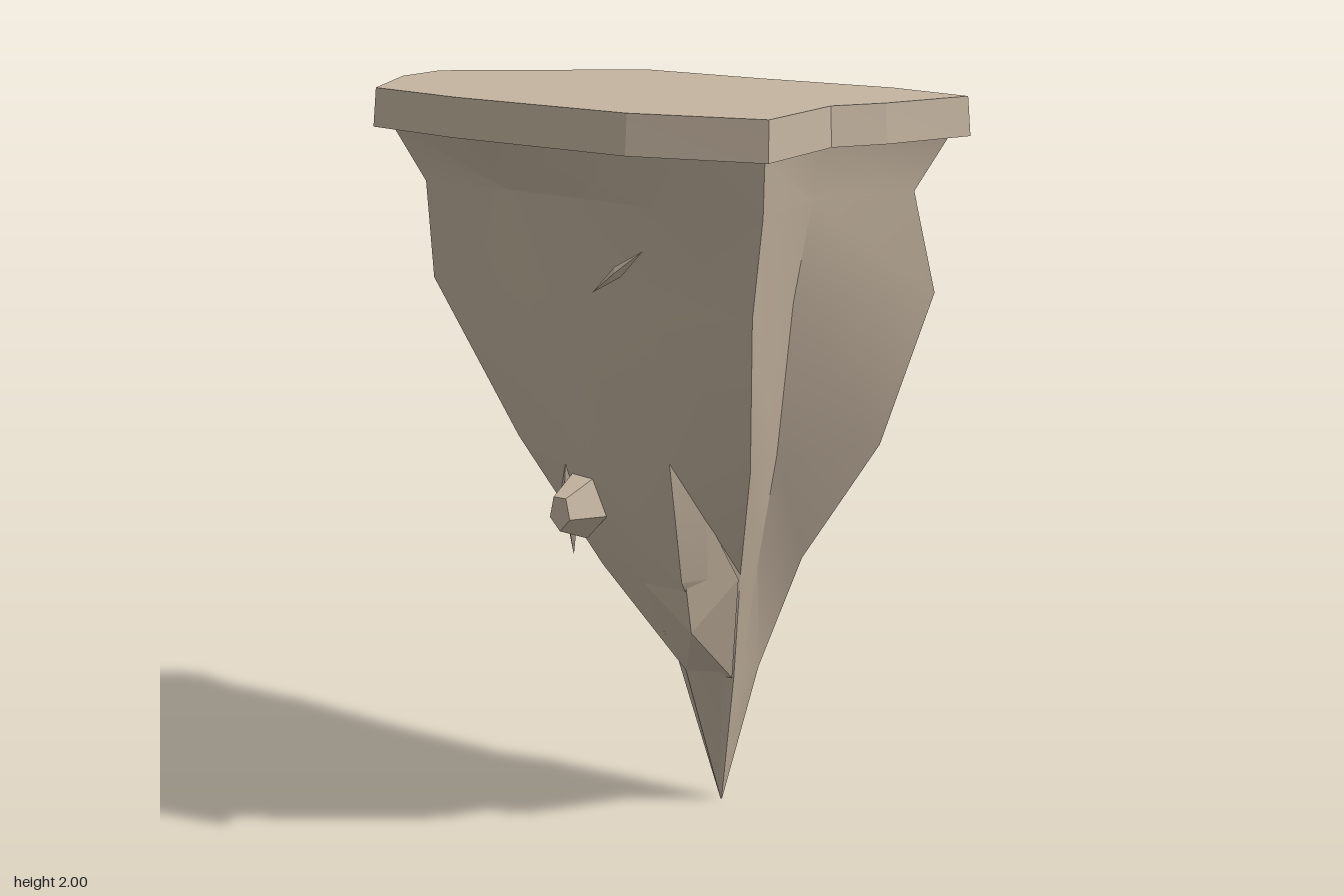
import * as THREE from 'three';
import { toCreasedNormals } from 'three/addons/utils/BufferGeometryUtils.js';
import { ConvexGeometry } from 'three/addons/geometries/ConvexGeometry.js';

// Skin a stack of equal-length loops of [x, y, z], listed from top to bottom
function loft(rings, crease) {
  const n = rings[0].length;
  const pos = rings.flat(2);
  const index = [];
  for (let r = 0; r < rings.length - 1; r++) {
    for (let i = 0; i < n; i++) {
      const j = (i + 1) % n, t = r * n, b = t + n;
      index.push(t + i, t + j, b + i, t + j, b + j, b + i);
    }
  }
  // close both ends with a fan
  const centre = (ring) => [0, 1, 2].map((k) => ring.reduce((s, p) => s + p[k], 0) / n);
  const last = (rings.length - 1) * n, top = pos.length / 3;
  pos.push(...centre(rings[0]), ...centre(rings[rings.length - 1]));
  for (let i = 0; i < n; i++) {
    const j = (i + 1) % n;
    index.push(top, j, i, top + 1, last + i, last + j);
  }
  const g = new THREE.BufferGeometry();
  g.setAttribute('position', new THREE.Float32BufferAttribute(pos, 3));
  g.setIndex(index);
  return toCreasedNormals(g, crease);
}

export function createModel() {
  const group = new THREE.Group();
  const stone = new THREE.MeshStandardMaterial({ color: 0xc4b4a0 });
  stone.name = 'stone';
  const add = (name, geometry) => {
    const mesh = new THREE.Mesh(geometry, stone);
    mesh.name = name;
    group.add(mesh);
    return mesh;
  };

  // Flat slab on top, flaring slightly towards its underside
  const outline = [
    [-0.28, -0.485], [0.11, -0.43], [0.52, -0.395], [0.775, -0.305], [0.675, -0.05], [0.592, 0.08],
    [0.612, 0.42], [0.26, 0.475], [-0.29, 0.397], [-0.61, 0.31], [-0.743, 0.02], [-0.752, -0.16],
  ];
  add('topSlab', loft([
    outline.map(([x, z]) => [x, 2, z]),
    outline.map(([x, z]) => [x * 1.008, 1.9, z * 1.025]),
  ], 0.15));

  // Tapering rock: each loop runs right-back ridge, right hollow, front-right ridge, front,
  // front recess, front-left ridge, left ridge, back groove, back ridge, back
  const loops = {
    1.91: [[0.74, -0.29], [0.57, 0.06], [0.58, 0.38], [0.24, 0.42], [-0.25, 0.39], [-0.57, 0.3],
      [-0.72, -0.15], [-0.5, -0.31], [-0.28, -0.47], [0.25, -0.41]],
    1.76: [[0.66, -0.25], [0.53, 0.05], [0.56, 0.35], [0.22, 0.34], [-0.23, 0.27], [-0.5, 0.25],
      [-0.78, -0.15], [-0.5, -0.3], [-0.24, -0.46], [0.28, -0.36]],
    1.5: [[0.71, -0.28], [0.47, 0.03], [0.5, 0.29], [0.2, 0.29], [-0.2, 0.25], [-0.51, 0.21],
      [-0.64, -0.17], [-0.26, -0.24], [-0.19, -0.44], [0.25, -0.36]],
    1.08: [[0.56, -0.29], [0.39, -0.04], [0.42, 0.15], [0.2, 0.18], [-0.05, 0.17], [-0.3, 0.13],
      [-0.46, -0.2], [-0.1, -0.22], [-0.09, -0.36], [0.2, -0.34]],
    0.74: [[0.34, -0.28], [0.27, -0.16], [0.28, -0.05], [0.19, 0.1], [0.04, 0.09], [-0.08, 0.06],
      [-0.22, -0.22], [0, -0.24], [0.02, -0.31], [0.18, -0.3]],
    0.41: [[0.21, -0.28], [0.2, -0.2], [0.2, -0.16], [0.17, -0.14], [0.11, -0.14], [0.06, -0.14],
      [-0.03, -0.24], [0.04, -0.28], [0.07, -0.31], [0.16, -0.31]],
  };
  const rings = Object.entries(loops)
    .sort((a, b) => b[0] - a[0])
    .map(([y, loop]) => loop.map(([x, z]) => [x, Number(y), z]));
  // the lowest loop shrinks to the point
  rings.push(rings[5].map(([x, , z]) => [0.1 + (x - 0.1) * 0.02, 0, -0.27 + (z + 0.27) * 0.02]));
  add('taperedRock', loft(rings, 0.5));

  // Keel that carries the front down to the point
  const keel = [[0.2, 1.13, 0.18], [0.19, 0.59, 0.05], [0.28, 0.73, -0.04], [0, 0.76, 0.08],
    [0.06, 0.41, -0.14], [0.2, 0.41, -0.15]];
  add('frontKeel', new ConvexGeometry(keel.map((p) => new THREE.Vector3(...p))));

  // Knob jutting out of the front
  const knob = add('frontKnob', toCreasedNormals(new THREE.CylinderGeometry(0.05, 0.1, 0.13, 5), 0.1));
  knob.position.set(-0.09, 0.925, 0.185);
  knob.rotation.x = Math.PI / 2;
  knob.scale.x = 0.65;

  // Sharp splinters lying against the rock, from upper to lower end
  const splinter = (name, upper, lower, width) => {
    const a = new THREE.Vector3(...upper), b = new THREE.Vector3(...lower);
    const mesh = add(name, new THREE.OctahedronGeometry(1));
    mesh.position.copy(a).add(b).divideScalar(2);
    mesh.scale.set(width, a.distanceTo(b) / 2, width);
    mesh.quaternion.setFromUnitVectors(new THREE.Vector3(0, 1, 0), a.sub(b).normalize());
  };
  splinter('frontSliver', [0.22, 1.65, 0.34], [0.06, 1.53, 0.32], 0.015);
  splinter('leftSplinter', [-0.14, 1.12, 0.14], [-0.16, 0.76, 0.08], 0.03);
  splinter('backSplinter', [0.28, 1, -0.32], [0.14, 0.36, -0.28], 0.035);
  splinter('backSplinter', [0.06, 0.9, -0.32], [0.09, 0.36, -0.28], 0.03);
  return group;
}
